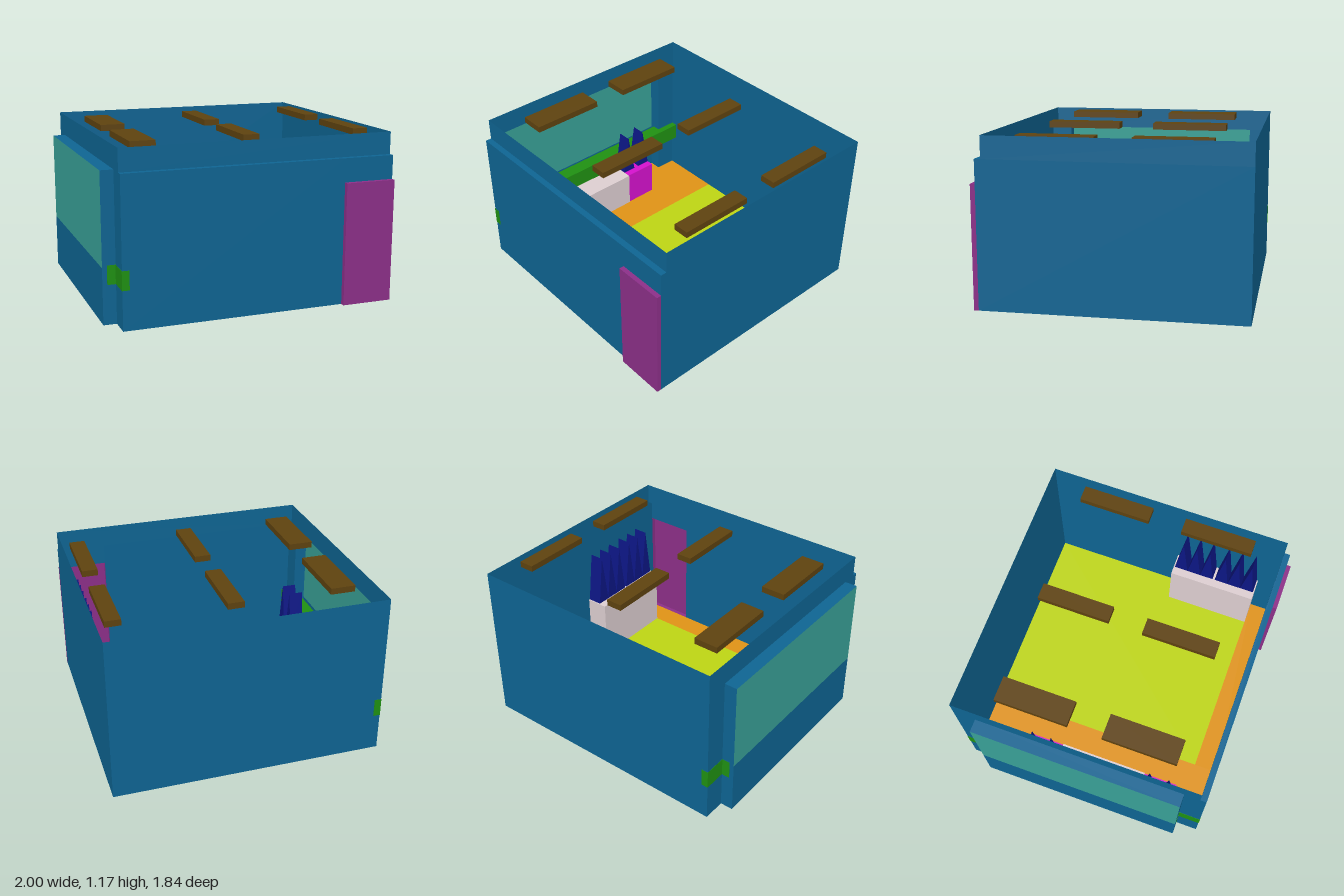
import * as THREE from 'three';

const mat = (color) => new THREE.MeshStandardMaterial({ color, side: THREE.DoubleSide, flatShading: true });
const M = {
  wall: mat(0x0e6492), glass: mat(0x38a096), door: mat(0x8c2f88), floor: mat(0xde9216), rug: mat(0xbcd414),
  beam: mat(0x5e420f), sill: mat(0x1f9012), white: mat(0xdccdd0), leaf: mat(0x0c1683), pot: mat(0xd412cc),
};

// Box given by its limits; a zero-size axis gives a thin rectangle
function slab(parent, name, material, [x0, x1], [y0, y1], [z0, z1]) {
  const size = [x1 - x0, y1 - y0, z1 - z0];
  const flat = size.findIndex((s) => s === 0);
  let geo;
  if (flat < 0) geo = new THREE.BoxGeometry(...size);
  else if (flat === 0) geo = new THREE.PlaneGeometry(size[2], size[1]).rotateY(Math.PI / 2);
  else if (flat === 1) geo = new THREE.PlaneGeometry(size[0], size[2]).rotateX(-Math.PI / 2);
  else geo = new THREE.PlaneGeometry(size[0], size[1]);
  geo.translate((x0 + x1) / 2, (y0 + y1) / 2, (z0 + z1) / 2);
  const mesh = new THREE.Mesh(geo, material);
  mesh.name = name;
  parent.add(mesh);
}

// Pointed triangular blade, its outline in z and y, running along x
function blade(parent, [x0, x1], [y0, y1], [z0, z1]) {
  const shape = new THREE.Shape();
  shape.moveTo(-z1, y0);
  shape.lineTo(-z0, y0);
  shape.lineTo(-(z0 + z1) / 2, y1);
  shape.closePath();
  const geo = new THREE.ExtrudeGeometry(shape, { depth: x1 - x0, bevelEnabled: false });
  geo.rotateY(Math.PI / 2).translate(x0, 0, 0);
  const mesh = new THREE.Mesh(geo, M.leaf);
  mesh.name = 'blade';
  parent.add(mesh);
}

export function createModel() {
  const model = new THREE.Group();
  const group = (name) => {
    const g = new THREE.Group();
    g.name = name;
    model.add(g);
    return g;
  };

  // Main room limits
  const L = -0.91, R = 1, B = -0.92, F = 0.885, FU = 0.842;
  const TOP = 1.175, LEDGE = 1.02, DOOR = 0.855, DX = 0.64;
  const bay = [-0.76, 0.73], GLASS = 0.385;

  // Floor: pale area with a border, and the bay floor
  const floor = group('floor');
  slab(floor, 'innerFloor', M.rug, [-0.44, R], [0, 0], [B, 0.72]);
  slab(floor, 'sideFloor', M.floor, [L, -0.44], [0, 0], [B, F]);
  slab(floor, 'frontFloor', M.floor, [-0.44, R], [0, 0], [0.72, F]);
  slab(floor, 'bayFloor', M.floor, [-1, L], [0, 0], bay);

  // Thin walls, stepped out below the ledge at the front
  const walls = group('walls');
  slab(walls, 'backWall', M.wall, [L, R], [0, TOP], [B, B]);
  slab(walls, 'frontWall', M.wall, [L, DX], [0, LEDGE], [F, F]);
  slab(walls, 'doorHeader', M.wall, [DX, R], [DOOR, LEDGE], [F, F]);
  slab(walls, 'frontLedge', M.wall, [L, R], [LEDGE, LEDGE], [FU, F]);
  slab(walls, 'frontUpperWall', M.wall, [L, R], [LEDGE, TOP], [FU, FU]);
  slab(walls, 'sideWall', M.wall, [R, R], [0, LEDGE], [B, F]);
  slab(walls, 'sideUpperWall', M.wall, [R, R], [LEDGE, TOP], [B, FU]);
  slab(walls, 'bayWallBack', M.wall, [L, L], [0, LEDGE], [B, bay[0]]);
  slab(walls, 'bayWallFront', M.wall, [L, L], [0, LEDGE], [bay[1], F]);
  slab(walls, 'bayUpperWall', M.wall, [L, L], [LEDGE, TOP], [B, FU]);

  // Window bay, open to the room
  const bayGroup = group('windowBay');
  slab(bayGroup, 'window', M.glass, [-1, -1], [GLASS, LEDGE], bay);
  slab(bayGroup, 'bayApron', M.wall, [-1, -1], [0, GLASS], bay);
  slab(bayGroup, 'bayRoof', M.wall, [-1, L], [LEDGE, LEDGE], bay);
  for (const z of bay) slab(bayGroup, 'baySide', M.wall, [-1, L], [0, LEDGE], [z, z]);

  // Door recess
  const door = group('door');
  slab(door, 'doorPanel', M.door, [DX, R], [0, DOOR], [0.918, 0.918]);
  for (const x of [DX, R]) slab(door, 'doorJamb', M.door, [x, x], [0, DOOR], [F, 0.918]);
  for (const y of [0, DOOR]) slab(door, 'doorEdge', M.door, [DX, R], [y, y], [F, 0.918]);

  // Sill along the window side, showing just through the walls
  const sill = group('windowSill');
  slab(sill, 'sillBar', M.sill, [L - 0.002, -0.862], [0.27, 0.4], [B - 0.002, F + 0.002]);
  slab(sill, 'sillBay', M.sill, [-0.968, L], [0.27, 0.4], [bay[0] - 0.002, bay[1] + 0.002]);

  // Ceiling beams
  const beams = group('ceilingBeams');
  for (const x of [[-0.775, -0.6], [0.01, 0.125], [0.83, 0.94]])
    for (const z of [[-0.66, -0.14], [0.105, 0.625]]) slab(beams, 'beam', M.beam, x, [1.13, 1.174], z);

  // Two planters by the door, three tall blades each
  const planters = group('planters');
  for (const [z0, z1] of [[0.065, 0.392], [0.392, 0.72]]) {
    slab(planters, 'planter', M.white, [0.83, 0.998], [0.002, 0.46], [z0, z1]);
    const start = z0 + 0.009, pitch = (z1 - z0 - 0.018) / 3;
    for (let i = 0; i < 3; i++)
      blade(planters, [0.89, 0.998], [0.46, 0.85], [start + i * pitch, start + (i + 1) * pitch]);
  }

  // Bench below the window between two pots, two blades each
  const bench = group('windowBench');
  slab(bench, 'bench', M.white, [-0.862, -0.695], [0.002, 0.27], [-0.255, 0.395]);
  for (const z of [-0.505, 0.395]) {
    slab(bench, 'pot', M.pot, [-0.862, -0.7], [0.002, 0.27], [z, z + 0.25]);
    for (const dz of [0, 0.145]) blade(bench, [-0.862, -0.755], [0.27, 0.58], [z + dz, z + dz + 0.104]);
  }

  return model;
}
